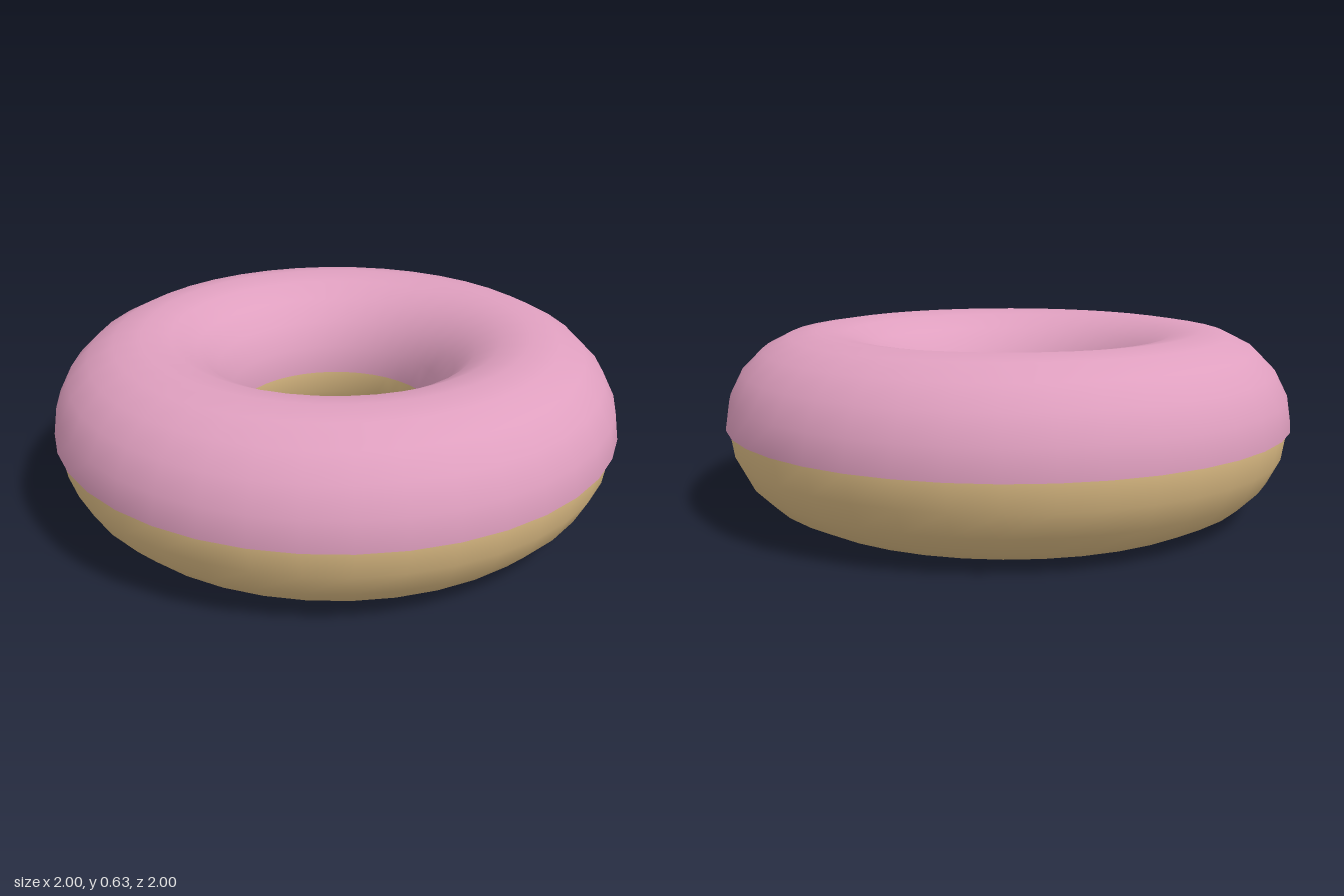
import * as THREE from 'three';

const RING = 0.68, DOUGH = 0.308, ICING = 0.32;
const TUBE_SIDES = 20, RING_SIDES = 40;

// Ring lying flat, its axis along y
function ringGeometry(tube) {
  return new THREE.TorusGeometry(RING, tube, TUBE_SIDES, RING_SIDES).rotateX(-Math.PI / 2);
}

// Upper half of the ring: the first half of the tube's rows, open underneath
function upperHalfRing(tube) {
  const full = ringGeometry(tube);
  const vertexCount = (TUBE_SIDES / 2 + 1) * (RING_SIDES + 1);
  const half = new THREE.BufferGeometry();
  for (const name of ['position', 'normal', 'uv']) {
    const { array, itemSize } = full.getAttribute(name);
    half.setAttribute(name, new THREE.BufferAttribute(array.slice(0, vertexCount * itemSize), itemSize));
  }
  const index = Array.from(full.index.array);
  half.setIndex(index.slice(0, index.length / 2));
  return half;
}

export function createModel() {
  const group = new THREE.Group();
  group.name = 'donut';

  const doughMaterial = new THREE.MeshStandardMaterial({ color: 0xd9b982 });
  doughMaterial.name = 'golden dough';
  const icingMaterial = new THREE.MeshStandardMaterial({ color: 0xdf9fbf, side: THREE.DoubleSide });
  icingMaterial.name = 'pink icing';

  // Baked ring
  const dough = new THREE.Mesh(ringGeometry(DOUGH), doughMaterial);
  dough.name = 'dough';

  // Slightly thicker shell over the top half
  const icing = new THREE.Mesh(upperHalfRing(ICING), icingMaterial);
  icing.name = 'icing';

  for (const part of [dough, icing]) {
    part.position.y = DOUGH;
    group.add(part);
  }
  return group;
}
